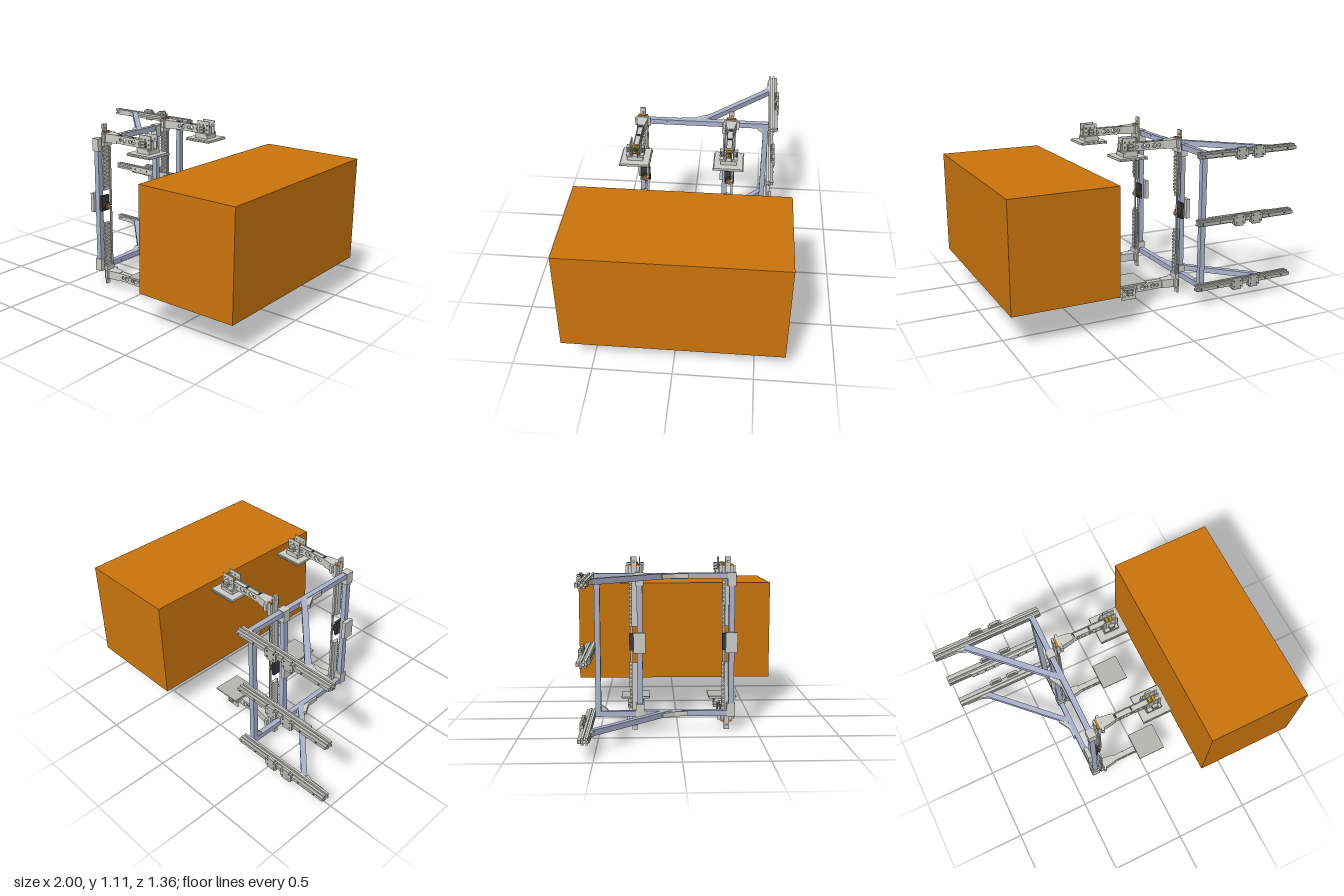
import * as THREE from 'three';

const mat = (name, color) => {
  const m = new THREE.MeshStandardMaterial({ color });
  m.name = name;
  return m;
};

export function createModel() {
  const steel = mat('light steel', 0xcdcec9);
  const grey = mat('grey steel', 0xb6b8b2);
  const blue = mat('blue grey tube', 0xaeb3cf);
  const orange = mat('orange', 0xcc750c);
  const amber = mat('amber', 0xc29a1c);
  const dark = mat('dark', 0x3c3c3e);
  const root = new THREE.Group();
  const MID = 0.555; // the frame is mirrored above and below this height

  const add = (name, geo, m, parent = root) => {
    const mesh = new THREE.Mesh(geo, m);
    mesh.name = name;
    parent.add(mesh);
    return mesh;
  };
  // box given by its limits
  const box = (name, m, x0, x1, y0, y1, z0, z1, parent = root) =>
    add(name, new THREE.BoxGeometry(x1 - x0, Math.abs(y1 - y0), z1 - z0)
      .translate((x0 + x1) / 2, (y0 + y1) / 2, (z0 + z1) / 2), m, parent);
  // rectangular plate with holes, centred, lying in its local xy plane
  const plate = (w, h, t, holes) => {
    const s = new THREE.Shape();
    s.moveTo(-w / 2, -h / 2).lineTo(w / 2, -h / 2).lineTo(w / 2, h / 2).lineTo(-w / 2, h / 2).closePath();
    for (const [x, y, r] of holes) s.holes.push(new THREE.Path().absarc(x, y, r, 0, Math.PI * 2, true));
    return new THREE.ExtrudeGeometry(s, { depth: t, bevelEnabled: false, curveSegments: 6 }).translate(0, 0, -t / 2);
  };
  const cyl = (name, m, r, len, axis, x, y, z, seg = 16, parent = root) => {
    const g = new THREE.CylinderGeometry(r, r, len, seg);
    if (axis === 'x') g.rotateZ(Math.PI / 2);
    if (axis === 'z') g.rotateX(Math.PI / 2);
    return add(name, g.translate(x, y, z), m, parent);
  };
  const prism = (pts, t) => new THREE.ExtrudeGeometry(
    new THREE.Shape(pts.map(p => new THREE.Vector2(...p))), { depth: t, bevelEnabled: false });

  // large load
  box('loadBox', orange, 0.32, 1, 0.215, 0.895, -0.68, 0.675);

  // upright posts
  for (const z of [-0.508, -0.243, 0.335]) box('post', blue, -0.36, -0.325, 0.1, 1.01, z - 0.0175, z + 0.0175);

  // slotted profile for the long rails
  const slotted = [];
  for (let k = 0; k < 4; k++) {
    const c = [1, 0, -1, 0][k], s = [0, 1, 0, -1][k];
    for (const [a, b] of [[0.02, -0.02], [0.02, -0.006], [0.009, -0.006], [0.009, 0.006], [0.02, 0.006]])
      slotted.push([a * c - b * s, a * s + b * c]);
  }

  const rail = (y) => {
    const g = new THREE.Group();
    g.name = 'slideRail';
    root.add(g);
    add('slottedBeam', prism(slotted, 0.715).rotateY(Math.PI / 2).translate(-1, y, -0.546), steel, g);
    box('guideStrip', grey, -1, -0.285, y - 0.011, y + 0.011, -0.585, -0.566, g);
    for (const x of [-0.705, -0.575]) {
      box('carriage', grey, x - 0.043, x + 0.043, y - 0.028, y + 0.028, -0.594, -0.57, g);
      for (const s of [-1, 1]) {
        box('carriageFlange', grey, x - 0.03, x + 0.03, y + s * 0.033 - 0.006, y + s * 0.033 + 0.006, -0.594, -0.576, g);
        for (const d of [-0.025, 0.025]) cyl('carriageScrew', dark, 0.005, 0.003, 'z', x + d, y + s * 0.018, -0.594, 8, g);
      }
    }
    for (let x = -0.93; x < -0.3; x += 0.125) cyl('railBolt', dark, 0.006, 0.004, 'z', x, y, -0.585, 8, g);
  };
  [0.12, MID, 0.99].forEach(rail);

  // toothed rack under the middle rail
  box('rackBar', steel, -0.84, -0.38, 0.534, 0.577, -0.526, -0.518);
  for (let x = -0.835; x < -0.38; x += 0.02) box('rackTooth', steel, x, x + 0.01, 0.525, 0.534, -0.54, -0.518);
  for (let x = -0.8; x < -0.38; x += 0.06) cyl('rackBolt', dark, 0.005, 0.004, 'z', x, 0.556, -0.517, 8);

  // upper and lower halves
  for (const side of [1, -1]) {
    const Y = y => side > 0 ? y : 2 * MID - y;
    const level = new THREE.Group();
    level.name = side > 0 ? 'upperLevel' : 'lowerLevel';
    root.add(level);
    const bx = (name, m, x0, x1, y0, y1, z0, z1) => box(name, m, x0, x1, Y(y0), Y(y1), z0, z1, level);

    bx('sideBeam', blue, -0.36, -0.325, 0.975, 1.01, -0.525, 0.355);
    // diagonal brace with foot plates
    const a = new THREE.Vector2(-0.8, -0.525), b = new THREE.Vector2(-0.35, -0.075);
    const brace = add('diagonalBrace', new THREE.BoxGeometry(a.distanceTo(b), 0.035, 0.037), blue, level);
    brace.position.set((a.x + b.x) / 2, Y(0.9925), (a.y + b.y) / 2);
    brace.rotation.y = -Math.PI / 4;
    const foot = [[-0.96, 0.525], [-0.79, 0.525], [-0.77, 0.49], [-0.81, 0.5], [-0.86, 0.518], [-0.95, 0.518]];
    const foot2 = [[-0.361, 0.13], [-0.361, -0.06], [-0.373, -0.06], [-0.373, 0.02], [-0.395, 0.06], [-0.42, 0.1]];
    for (const f of [foot, foot2])
      add('braceFoot', prism(f, 0.03).rotateX(-Math.PI / 2).translate(0, Y(0.9925) - 0.015, 0), steel, level);
    // corner gusset
    const tri = [[0.49, Y(0.975)], [0.445, Y(0.975)], [0.455, Y(0.96)], [0.49, Y(0.935)]];
    add('cornerGusset', prism(tri, 0.025).rotateY(Math.PI / 2).translate(-0.355, 0, 0), steel, level);
    cyl('beamHole', dark, 0.005, 0.002, 'x', -0.325, Y(0.998), 0.155, 10, level);

    for (const zc of [0.312, -0.277]) {
      const zp = zc > 0 ? 0.335 : -0.243;
      const arm = new THREE.Group();
      arm.name = 'gripperArm';
      level.add(arm);
      const p = (name, m, x0, x1, y0, y1, z0, z1) => box(name, m, x0, x1, Y(y0), Y(y1), zc + z0, zc + z1, arm);
      // collar on the post
      box('postCollar', steel, -0.367, -0.314, Y(0.93), Y(1.014), zp - 0.028, zp + 0.026, arm);
      // vertical slide: guide bar and perforated plate
      const bar = add('guideBar', plate(0.034, 0.44, 0.013, [[0, side * 0.19, 0.006]]).rotateY(Math.PI / 2), steel, arm);
      bar.position.set(-0.303, Y(0.89), zc);
      const holes = [];
      for (let i = 0; i < 12; i++) for (const z of [-0.02, 0, 0.02])
        holes.push([z, -0.148 + i * 0.027 + (z ? 0 : 0.01), 0.006]);
      const perf = add('perforatedPlate', plate(0.066, 0.34, 0.01, holes).rotateY(Math.PI / 2), steel, arm);
      perf.position.set(-0.291, Y(0.84), zc);
      p('driveStrip', grey, -0.282, -0.276, 0.56, 1.0, -0.028, -0.012);
      for (let y = 0.7; y < 0.98; y += 0.02) p('slideTooth', steel, -0.296, -0.284, y, y + 0.01, 0.033, 0.04);
      // arm clamp
      p('clampBase', steel, -0.297, -0.272, 0.97, 1.06, -0.036, 0.036);
      p('clampInsert', orange, -0.3, -0.28, 1.05, 1.064, -0.03, 0.03);
      p('clampPlate', steel, -0.276, -0.258, 1.0, 1.055, -0.054, 0.05);
      const neck = [[-0.26, -0.036], [-0.2, -0.028], [-0.175, -0.022], [-0.175, 0.022], [-0.2, 0.028], [-0.26, 0.036]];
      add('clampNeck', prism(neck, 0.056).rotateX(-Math.PI / 2).translate(0, Y(1.0275) - 0.028, zc), steel, arm);
      // perforated channel arm
      const armHoles = [-0.12, -0.085, -0.04, -0.01, 0.04, 0.075, 0.12].map((x, i) => [x, 0, i % 2 ? 0.015 : 0.011]);
      for (const s of [-1, 1]) {
        const web = add('armWeb', plate(0.31, 0.052, 0.005, armHoles), steel, arm);
        web.position.set(-0.022, Y(1.0275), zc + s * 0.017);
      }
      p('armFloor', steel, -0.177, 0.13, 1.002, 1.008, -0.016, 0.016);
      p('armRoof', steel, -0.177, 0.05, 1.042, 1.046, -0.016, 0.016);
      for (const x of [-0.165, -0.06]) p('armSpacer', dark, x - 0.004, x + 0.004, 1.044, 1.053, -0.016, 0.016);
      for (const x of [0.065, 0.09]) p('armBlock', amber, x - 0.009, x + 0.009, 1.006, 1.056, -0.015, 0.015);
      for (let y = 1.012; y < 1.05; y += 0.011) p('blockStripe', dark, 0.098, 0.101, y, y + 0.003, -0.015, 0.015);
      // pad and its bracket
      p('gripPad', grey, -0.02, 0.17, 0.96, 0.968, -0.096, 0.096);
      p('padBacking', steel, -0.02, 0.17, 0.968, 0.976, -0.09, 0.09);
      p('padBoss', steel, 0.025, 0.125, 0.976, 1.0, -0.05, 0.05);
      const bolts = [-0.03, 0, 0.03].flatMap(x => [-0.03, 0, 0.03].map(y => [x, y, 0.005]));
      for (const s of [-1, 1]) {
        const cheek = add('padCheek', plate(0.096, 0.115, 0.006, bolts), steel, arm);
        cheek.position.set(0.077, Y(1.033), zc + s * 0.029);
        p('cheekFoot', steel, 0.03, 0.12, 1.0, 1.012, Math.min(s * 0.03, s * 0.056), Math.max(s * 0.03, s * 0.056));
        for (const y of [1.025, 1.045]) {
          p('boltBlock', grey, 0.06, 0.095, y - 0.008, y + 0.008, s * 0.046 - 0.011, s * 0.046 + 0.011);
          cyl('boltEnd', dark, 0.005, 0.002, 'x', 0.096, Y(y), zc + s * 0.048, 8, arm);
        }
      }
    }
  }

  // drive units halfway up the two slides
  for (const [zc, zp] of [[0.312, 0.335], [-0.277, -0.243]]) {
    const g = new THREE.Group();
    g.name = 'driveUnit';
    root.add(g);
    box('driveHousing', steel, -0.388, -0.361, 0.51, 0.64, zp - 0.04, zp + 0.035, g);
    box('driveMount', dark, -0.325, -0.308, 0.52, 0.625, zc - 0.033, zc + 0.033, g);
    cyl('drivePinion', dark, 0.028, 0.02, 'x', -0.298, MID, zc, 14, g);
    cyl('pinionRing', orange, 0.02, 0.01, 'x', -0.286, MID, zc, 14, g);
    cyl('pinionShaft', grey, 0.009, 0.02, 'x', -0.28, MID, zc, 12, g);
  }
  return root;
}
